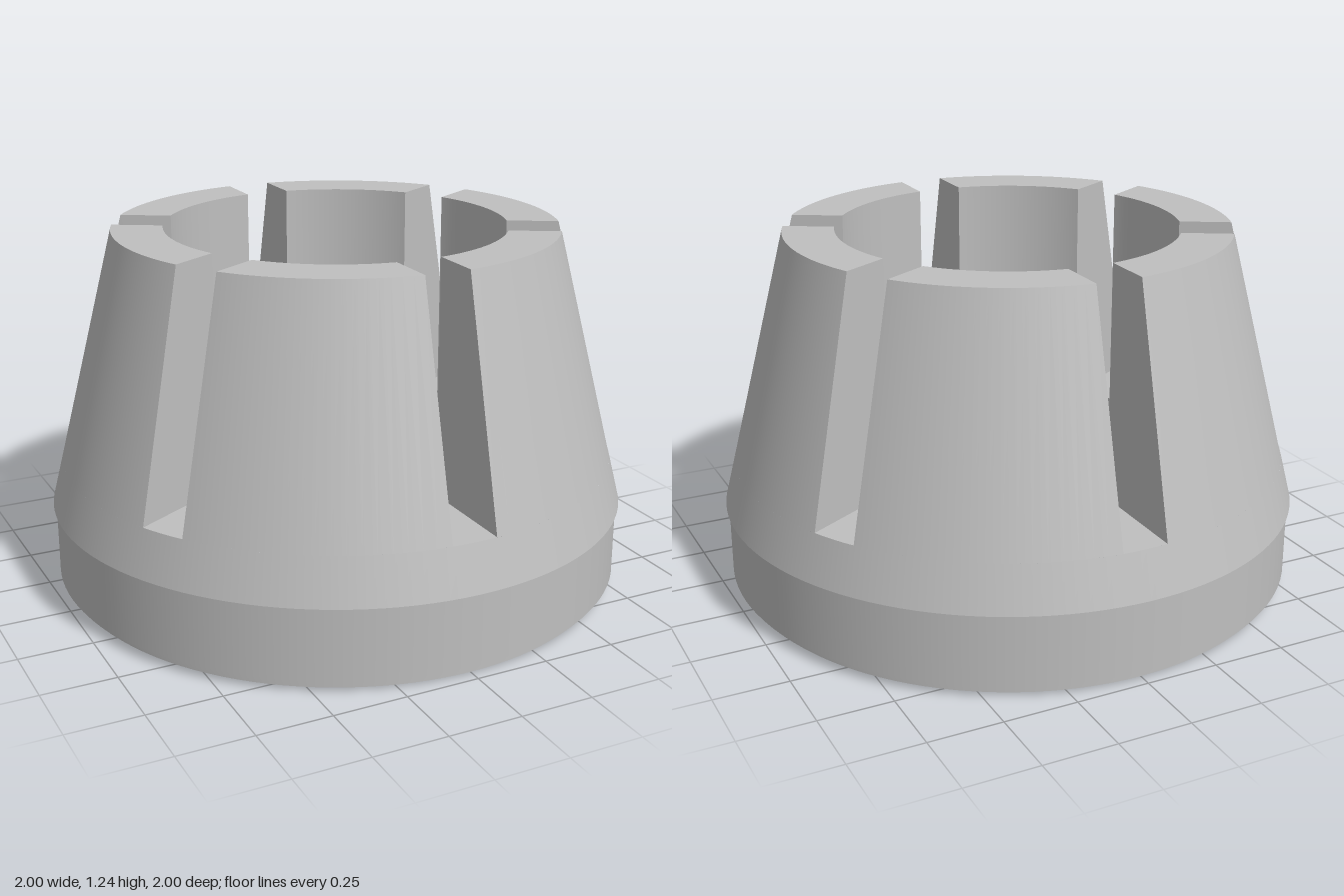
import * as THREE from 'three';
import { mergeGeometries } from 'three/addons/utils/BufferGeometryUtils.js';

const INNER = 0.585, TOP_R = 0.76, FLOOR_R = 0.96;
const TOP_Y = 1.24, FLOOR_Y = 0.445;
const HALF_SLOT = 0.078, SLOTS = 6, STEP = (Math.PI * 2) / SLOTS;

// Angle that a slot's half width takes up at radius r
const slotAngle = (r) => Math.asin(HALF_SLOT / r);

function makeGeometry(pos, nor, index) {
  const g = new THREE.BufferGeometry();
  g.setAttribute('position', new THREE.Float32BufferAttribute(pos, 3));
  g.setAttribute('normal', new THREE.Float32BufferAttribute(nor, 3));
  g.setIndex(index);
  return g;
}

// Band of revolution between profile points a and b ([radius, y]),
// with start and end angles that may depend on the radius
function band(a, b, start, end, n) {
  const pos = [], nor = [], index = [];
  const dr = b[0] - a[0], dy = b[1] - a[1], len = Math.hypot(dr, dy);
  for (let i = 0; i <= n; i++) {
    for (const [r, y] of [a, b]) {
      const t = THREE.MathUtils.lerp(start(r), end(r), i / n);
      const s = Math.sin(t), c = Math.cos(t);
      pos.push(r * s, y, r * c);
      nor.push((dy / len) * s, -dr / len, (dy / len) * c);
    }
    if (i < n) {
      const k = i * 2;
      index.push(k, k + 2, k + 3, k, k + 3, k + 1);
    }
  }
  return makeGeometry(pos, nor, index);
}

const bands = (profile, start, end, n) => mergeGeometries(
  profile.slice(1).map((p, i) => band(profile[i], p, start, end, n)));

// Flat side of a slot at x = side * HALF_SLOT, facing the slot
function slotWall(side) {
  const x = side * HALF_SLOT, pos = [], nor = [];
  const corners = [[INNER, FLOOR_Y], [FLOOR_R, FLOOR_Y], [TOP_R, TOP_Y], [INNER, TOP_Y]];
  for (const [r, y] of corners) {
    pos.push(x, y, Math.sqrt(r * r - x * x));
    nor.push(-side, 0, 0);
  }
  return makeGeometry(pos, nor, side > 0 ? [0, 1, 2, 0, 2, 3] : [0, 2, 1, 0, 3, 2]);
}

export function createModel() {
  const group = new THREE.Group();
  const steel = new THREE.MeshStandardMaterial({ color: 0xbfbfbf });
  steel.name = 'plainGrey';

  const add = (name, geometry, angle = 0) => {
    const mesh = new THREE.Mesh(geometry, steel);
    mesh.name = name;
    mesh.rotation.y = angle;
    group.add(mesh);
  };

  // Solid base ring with stepped edges around the bore and the rim
  const baseProfile = [
    [INNER, FLOOR_Y], [INNER, 0.056], [0.615, 0.056], [0.615, 0.042],
    [0.64, 0.042], [0.64, 0.028], [0.66, 0.028], [0.66, 0.014],
    [0.68, 0.014], [0.68, 0],
    [0.953, 0], [0.953, 0.013], [0.967, 0.013], [0.967, 0.027],
    [0.98, 0.027], [0.98, 0.04], [0.99, 0.04], [0.99, 0.288],
    [1, 0.288], [FLOOR_R, FLOOR_Y],
  ];
  add('baseRing', bands(baseProfile, () => 0, () => Math.PI * 2, 120));

  // Tapered finger between two neighbouring slots
  const fingerProfile = [[FLOOR_R, FLOOR_Y], [TOP_R, TOP_Y], [INNER, TOP_Y], [INNER, FLOOR_Y]];
  const finger = bands(fingerProfile, slotAngle, (r) => STEP - slotAngle(r), 18);

  // Floor and both walls of one slot
  const slot = mergeGeometries([
    band([FLOOR_R, FLOOR_Y], [INNER, FLOOR_Y], (r) => -slotAngle(r), slotAngle, 4),
    slotWall(1), slotWall(-1),
  ]);

  for (let i = 0; i < SLOTS; i++) {
    add('finger' + (i + 1), finger, i * STEP);
    add('slot' + (i + 1), slot, i * STEP);
  }
  return group;
}
